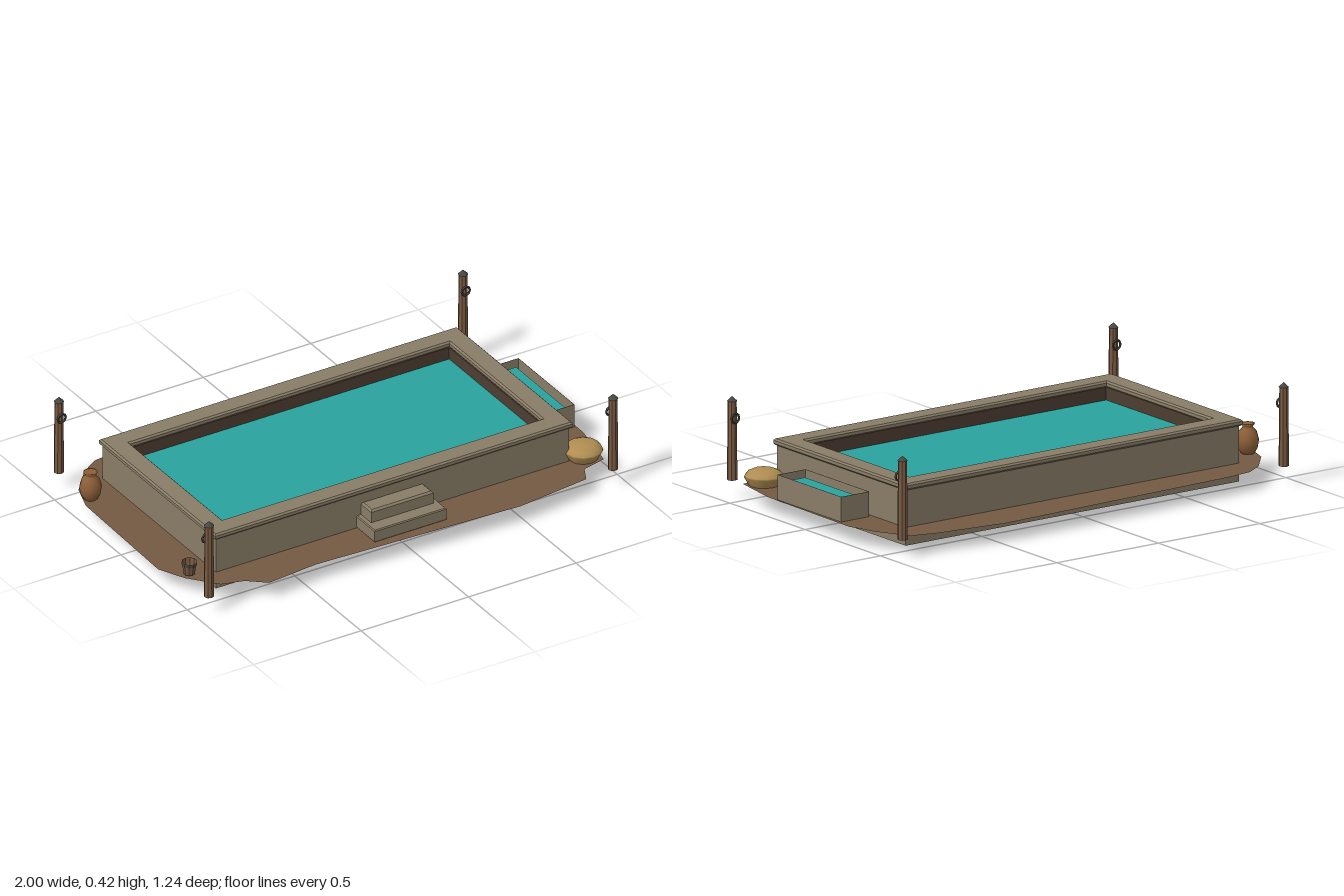
import * as THREE from 'three';

const mat = (name, color, extra = {}) => {
  const m = new THREE.MeshStandardMaterial({ color, ...extra });
  m.name = name;
  return m;
};

export function createModel() {
  const group = new THREE.Group();
  const two = { side: THREE.DoubleSide };
  const flat = { flatShading: true, side: THREE.DoubleSide };
  const stone = mat('stone', 0x897d67, two);
  const liner = mat('dark liner', 0x4d3e32, two);
  const floor = mat('basin floor', 0x222010);
  const mud = mat('mud', 0x755a43, two);
  const water = mat('water', 0x2aa39e, two);
  const wood = mat('wood', 0x7a5a42, flat);
  const iron = mat('iron', 0x484842, flat);
  const clay = mat('clay', 0x8d6039, two);
  const straw = mat('straw', 0xb08d52, two);
  const GROUND = 0.075;

  const add = (name, geo, material, x = 0, y = 0, z = 0, parent = group) => {
    const m = new THREE.Mesh(geo, material);
    m.name = name;
    m.position.set(x, y, z);
    parent.add(m);
    return m;
  };
  const rect = (Type, w, d) => {
    const s = new Type();
    s.moveTo(-w / 2, -d / 2);
    s.lineTo(w / 2, -d / 2);
    s.lineTo(w / 2, d / 2);
    s.lineTo(-w / 2, d / 2);
    s.closePath();
    return s;
  };
  // Upright slab of height h from a ground-plan shape, with chamfered edges
  const slab = (shape, h, bevel = 0) => {
    const g = new THREE.ExtrudeGeometry(shape, {
      depth: h - 2 * bevel, bevelEnabled: bevel > 0, bevelSize: bevel,
      bevelThickness: bevel, bevelOffset: -bevel, bevelSegments: 1,
    });
    return g.translate(0, 0, bevel).rotateX(-Math.PI / 2);
  };
  const ring = (w, d, iw, id, h, bevel) => {
    const s = rect(THREE.Shape, w, d);
    s.holes.push(rect(THREE.Path, iw, id));
    return slab(s, h, bevel);
  };
  const lathe = (points, sides) =>
    new THREE.LatheGeometry(points.map(([r, y]) => new THREE.Vector2(r, y)), sides);
  const plate = (w, d) => new THREE.PlaneGeometry(w, d).rotateX(-Math.PI / 2);

  // Irregular mud patch, open under the basin
  const outline = [
    [-1, 0.28], [-0.985, -0.29], [-0.945, -0.41], [-0.85, -0.52], [-0.77, -0.57],
    [-0.65, -0.585], [0.47, -0.62], [0.78, -0.58], [0.89, -0.55], [0.965, -0.41],
    [1, -0.29], [0.99, 0.26], [0.95, 0.48], [0.845, 0.505], [0.81, 0.575],
    [0.48, 0.617], [-0.45, 0.576], [-0.68, 0.6], [-0.755, 0.537], [-0.85, 0.51],
    [-0.945, 0.395],
  ];
  const patch = new THREE.Shape(outline.map(([x, z]) => new THREE.Vector2(x, -z)));
  patch.holes.push(rect(THREE.Path, 1.62, 0.82));
  add('groundPatch', new THREE.ShapeGeometry(patch).rotateX(-Math.PI / 2), mud, 0, GROUND, 0);

  // Basin: hollow walls, coping, liner, floor and water
  const basin = new THREE.Group();
  basin.name = 'basin';
  basin.position.set(0.005, 0, -0.008);
  group.add(basin);
  add('basinWalls', ring(1.644, 0.854, 1.636, 0.846, 0.235), stone, 0, 0, 0, basin);
  add('coping', ring(1.666, 0.876, 1.486, 0.696, 0.027, 0.007), stone, 0, 0.228, 0, basin);
  add('liner', ring(1.489, 0.699, 1.478, 0.688, 0.218), liner, 0, 0.015, 0, basin);
  add('basinFloor', new THREE.BoxGeometry(1.55, 0.01, 0.76), floor, 0, 0.012, 0, basin);
  add('basinWater', plate(1.48, 0.69), water, 0, 0.18, 0, basin);

  // Entry steps
  add('lowerStep', slab(rect(THREE.Shape, 0.335, 0.14), 0.055, 0.004), stone, 0.005, GROUND, 0.485);
  add('upperStep', slab(rect(THREE.Shape, 0.29, 0.08), 0.11, 0.008), stone, 0.004, GROUND, 0.455);

  // Side trough: thin open shell with water inside
  const trough = new THREE.Group();
  trough.name = 'trough';
  trough.position.set(0.914, GROUND, -0.006);
  group.add(trough);
  add('troughWalls', ring(0.138, 0.422, 0.136, 0.42, 0.103), stone, 0, 0, 0, trough);
  add('troughWater', plate(0.088, 0.37), water, 0.001, 0.08, -0.004, trough);

  // Corner posts with pointed caps and inward-facing iron rings
  for (const x of [-0.936, 0.944]) {
    for (const [z, inward] of [[0.56, -1], [-0.572, 1]]) {
      const post = new THREE.Group();
      post.name = 'cornerPost';
      post.position.set(x, GROUND, z);
      group.add(post);
      add('postShaft', new THREE.CylinderGeometry(0.018, 0.021, 0.325, 8), wood, 0, 0.1625, 0, post);
      add('postCap', new THREE.ConeGeometry(0.021, 0.02, 8), iron, 0, 0.333, 0, post);
      add('postRing', new THREE.TorusGeometry(0.019, 0.005, 5, 10), iron, 0, 0.255, inward * 0.021, post);
    }
  }

  // Clay jug with a stoppered mouth
  add('jug', lathe([[0, 0], [0.028, 0], [0.041, 0.025], [0.046, 0.055], [0.037, 0.088],
    [0.022, 0.105], [0.022, 0.112], [0.029, 0.122], [0.02, 0.122], [0, 0.12]], 10),
  clay, -0.938, GROUND, -0.33);

  // Open, thin-walled bucket with an iron band under the rim
  add('bucket', lathe([[0, 0.006], [0.023, 0.006], [0.031, 0.06]], 10), wood, -0.915, GROUND, 0.378);
  add('bucketBand', new THREE.CylinderGeometry(0.0315, 0.0305, 0.01, 10, 1, true),
    iron, -0.915, GROUND + 0.05, 0.378);

  // Straw basket with a low heaped top
  add('basket', lathe([[0, 0], [0.06, 0], [0.06, 0], [0.08, 0.035], [0.077, 0.041],
    [0.066, 0.054], [0.045, 0.064], [0, 0.067]], 12), straw, 0.89, GROUND, 0.422);

  return group;
}
